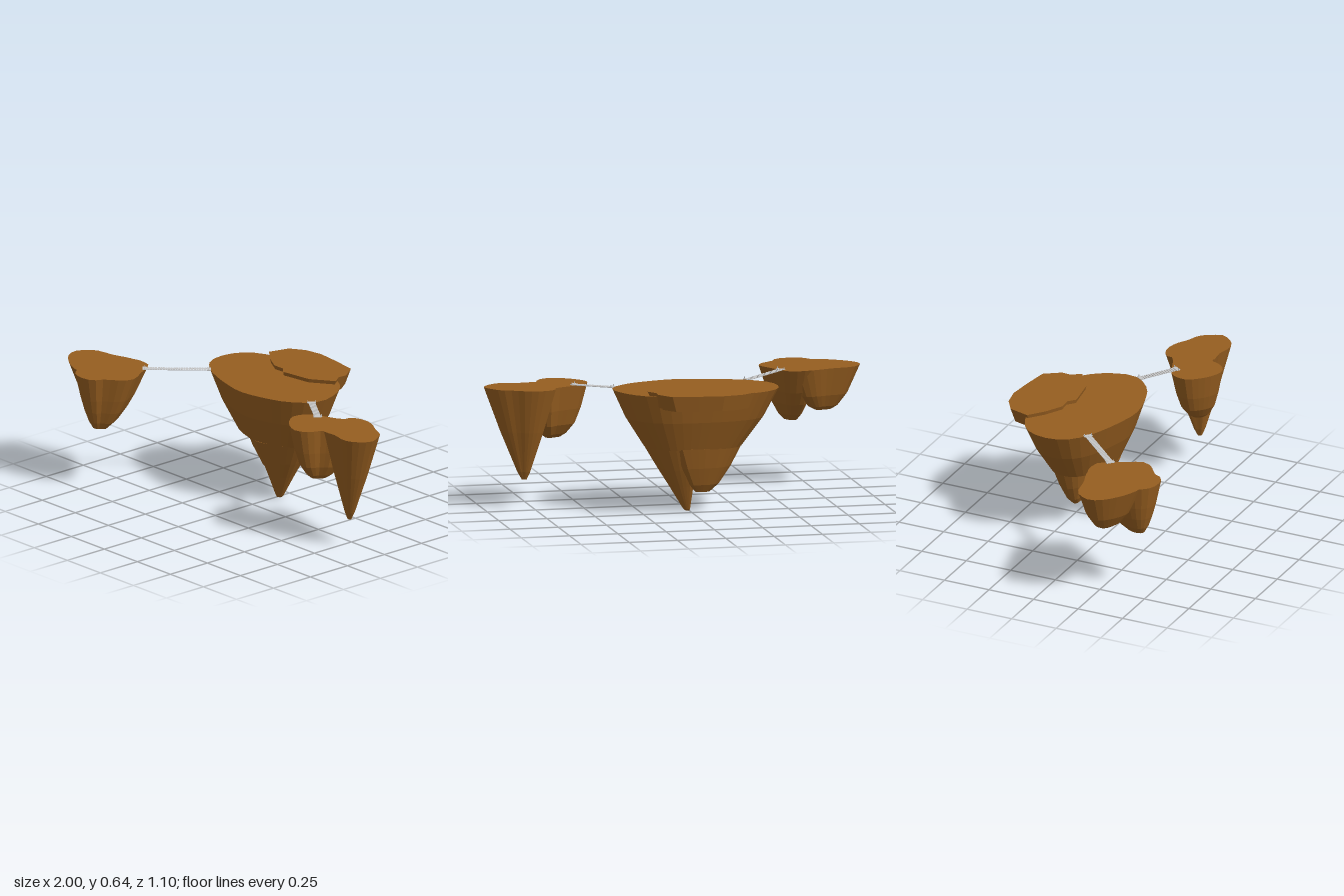
import * as THREE from 'three';

const TOP = 0.625;
const rock = new THREE.MeshStandardMaterial({ color: 0x965e20 });
rock.name = 'brown rock';
const plank = new THREE.MeshStandardMaterial({ color: 0xc6c6c6 });
plank.name = 'pale grey plank';

// Resample a closed [x, z] outline (clockwise seen from above) as a smooth curve.
function smooth(outline, n) {
  const pts = outline.map(([x, z]) => new THREE.Vector3(x, 0, z));
  return new THREE.CatmullRomCurve3(pts, true).getSpacedPoints(n).slice(0, -1).map((p) => [p.x, p.z]);
}

// Faceted solid: the outline shrinks towards the tip by the scale given at each [y, scale] level.
function loft(name, outline, tip, levels) {
  const pos = [];
  const n = outline.length;
  const rings = levels.map(([y, s]) =>
    outline.map(([x, z]) => [tip[0] + (x - tip[0]) * s, y, tip[1] + (z - tip[1]) * s]));
  const middle = (ring) => [0, 1, 2].map((k) => ring.reduce((sum, p) => sum + p[k], 0) / n);
  const first = rings[0];
  const last = rings[rings.length - 1];
  const topMid = middle(first);
  const lowMid = middle(last);
  for (let i = 0; i < n; i++) {
    const j = (i + 1) % n;
    pos.push(...topMid, ...first[j], ...first[i]);
    pos.push(...lowMid, ...last[i], ...last[j]);
    for (let k = 0; k + 1 < rings.length; k++) {
      const a = rings[k], b = rings[k + 1];
      pos.push(...a[j], ...b[j], ...b[i], ...a[j], ...b[i], ...a[i]);
    }
  }
  const geometry = new THREE.BufferGeometry();
  geometry.setAttribute('position', new THREE.Float32BufferAttribute(pos, 3));
  geometry.computeVertexNormals();
  const mesh = new THREE.Mesh(geometry, rock);
  mesh.name = name;
  return mesh;
}

function group(name, ...parts) {
  const g = new THREE.Group();
  g.name = name;
  g.add(...parts);
  return g;
}

// Large island: wide upper body, pointed front root and shorter set-back root.
function mainIsland() {
  const body = [[-0.457, -0.2], [-0.44, -0.28], [-0.4, -0.337], [-0.3, -0.39], [-0.17, -0.415], [0, -0.42],
    [0.15, -0.405], [0.26, -0.36], [0.35, -0.25], [0.38, -0.107], [0.286, 0.005], [0.136, 0.064],
    [0, 0.085], [-0.13, 0.06], [-0.265, 0.016], [-0.355, -0.027], [-0.436, -0.107]];
  const front = [[-0.03, -0.2], [-0.02, -0.31], [0.09, -0.31], [0.16, -0.28], [0.205, -0.22],
    [0.222, -0.135], [0.17, -0.07], [0.08, -0.035], [0, -0.02], [-0.03, -0.06]];
  const back = [[-0.267, -0.19], [-0.255, -0.24], [-0.175, -0.303], [-0.09, -0.32], [0, -0.323],
    [0.09, -0.31], [0.11, -0.22], [0, -0.14], [-0.13, -0.13], [-0.22, -0.14]];
  const slab = [[-0.3, -0.38], [-0.27, -0.487], [-0.195, -0.535], [-0.1, -0.553], [0.03, -0.54],
    [0.163, -0.52], [0.22, -0.437], [0.216, -0.39], [0.25, -0.34], [0.136, -0.26], [-0.03, -0.235],
    [-0.067, -0.268], [-0.13, -0.265], [-0.22, -0.315]];
  return group('mainIsland',
    loft('upperBody', smooth(body, 36), [0, -0.18], [[TOP, 1], [0.48, 0.83], [0.33, 0.585]]),
    loft('frontRoot', smooth(front, 24), [0, -0.18],
      [[0.335, 1], [0.22, 0.7], [0.13, 0.45], [0.04, 0.21], [0.01, 0.13], [0, 0.08]]),
    loft('backRoot', smooth(back, 24), [-0.06, -0.215], [[0.335, 1], [0.23, 0.73], [0.14, 0.43], [0.1, 0.2]]),
    loft('raisedSlab', slab, [-0.03, -0.38], [[0.645, 1], [0.565, 0.88]]));
}

// Small island on the right side of the model, with two rounded roots.
function rightIsland() {
  const inner = [[-0.72, 0.165], [-0.6, 0.165], [-0.57, 0.21], [-0.54, 0.267], [-0.49, 0.374], [-0.527, 0.433],
    [-0.585, 0.476], [-0.617, 0.53], [-0.69, 0.545], [-0.746, 0.53], [-0.783, 0.487], [-0.8, 0.4], [-0.78, 0.28]];
  const outer = [[-1, 0.3], [-0.95, 0.225], [-0.826, 0.197], [-0.72, 0.165], [-0.63, 0.18], [-0.61, 0.3],
    [-0.66, 0.42], [-0.73, 0.48], [-0.783, 0.487], [-0.89, 0.443], [-0.985, 0.358]];
  return group('rightIsland',
    loft('innerRoot', smooth(inner, 28), [-0.675, 0.44],
      [[TOP, 1], [0.5, 0.76], [0.43, 0.59], [0.37, 0.4], [0.335, 0.22]]),
    loft('outerRoot', smooth(outer, 28), [-0.81, 0.31], [[TOP, 1], [0.48, 0.65], [0.42, 0.4], [0.4, 0.22]]));
}

// Small island on the left side of the model, with a blunt root and a long pointed one.
function leftIsland() {
  const blunt = [[0.457, 0.134], [0.48, 0.053], [0.55, 0.016], [0.63, -0.016], [0.7, -0.06], [0.78, 0.02],
    [0.76, 0.13], [0.714, 0.16], [0.698, 0.2], [0.67, 0.24], [0.623, 0.262], [0.564, 0.246], [0.5, 0.198]];
  const pointed = [[0.66, -0.064], [0.725, -0.1], [0.805, -0.09], [0.87, -0.053], [0.944, -0.02], [0.976, 0.027],
    [1, 0.08], [0.96, 0.144], [0.895, 0.176], [0.805, 0.16], [0.714, 0.16], [0.68, 0.05]];
  return group('leftIsland',
    loft('bluntRoot', smooth(blunt, 28), [0.64, 0.13],
      [[TOP, 1], [0.5, 0.82], [0.42, 0.65], [0.37, 0.42], [0.35, 0.25]]),
    loft('pointedRoot', smooth(pointed, 28), [0.795, 0.055],
      [[TOP, 1], [0.4, 0.6], [0.3, 0.4], [0.19, 0.18], [0.15, 0.07]]));
}

// Plank bridge between two [x, z] points, with wide end boards and short posts.
function bridge(name, from, to) {
  const g = new THREE.Group();
  g.name = name;
  const dx = to[0] - from[0], dz = to[1] - from[1];
  const length = Math.hypot(dx, dz);
  const box = (part, w, h, d, x, y, z) => {
    const mesh = new THREE.Mesh(new THREE.BoxGeometry(w, h, d), plank);
    mesh.name = part;
    mesh.position.set(x, y, z);
    g.add(mesh);
  };
  const count = Math.round(length / 0.013);
  for (let i = 0; i < count; i++) {
    box('plank', 0.034, 0.003, 0.010, 0, 0.002, ((i + 0.5) / count - 0.5) * length);
  }
  for (const side of [-1, 1]) {
    box('rail', 0.003, 0.002, length, side * 0.013, 0, 0);
    box('endBoard', 0.044, 0.003, 0.02, 0, 0.003, side * length / 2);
    for (const end of [-1, 1]) box('post', 0.003, 0.014, 0.003, side * 0.019, 0.007, end * length / 2);
  }
  g.position.set((from[0] + to[0]) / 2, TOP, (from[1] + to[1]) / 2);
  g.rotation.y = Math.atan2(dx, dz);
  return g;
}

export function createModel() {
  return group('floatingIslands', mainIsland(), rightIsland(), leftIsland(),
    bridge('rightBridge', [-0.345, -0.015], [-0.57, 0.22]),
    bridge('leftBridge', [0.37, -0.07], [0.545, 0.045]));
}
